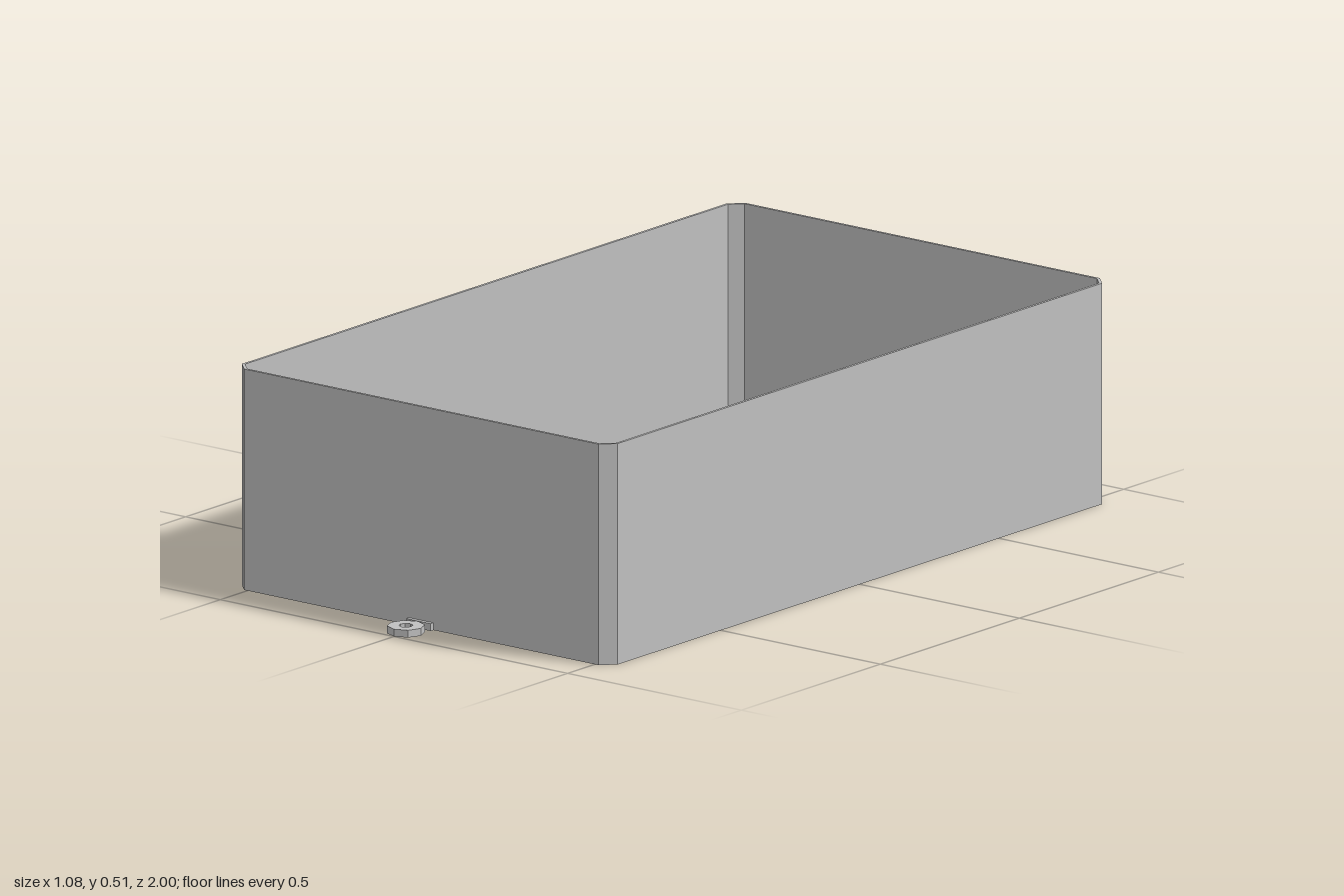
import * as THREE from 'three';

const HX = 0.541, HZ = 0.902, HEIGHT = 0.515, CHAMFER = 0.031, WALL = 0.007, FLOOR = 0.008;

// Rectangle with cut corners, as a list of points
function cutRect(hx, hz, c) {
  return [
    [hx, -hz + c], [hx, hz - c], [hx - c, hz], [-hx + c, hz],
    [-hx, hz - c], [-hx, -hz + c], [-hx + c, -hz], [hx - c, -hz],
  ].map(([x, y]) => new THREE.Vector2(x, y));
}

function octagon(r) {
  return Array.from({ length: 8 }, (_, i) =>
    new THREE.Vector2(r * Math.cos(i * Math.PI / 4), r * Math.sin(i * Math.PI / 4)));
}

// Extrude a plan outline upwards from y = 0
function slab(points, height, hole) {
  const shape = new THREE.Shape(points);
  if (hole) shape.holes.push(new THREE.Path(hole));
  return new THREE.ExtrudeGeometry(shape, { depth: height, bevelEnabled: false }).rotateX(-Math.PI / 2);
}

export function createModel() {
  const model = new THREE.Group();
  model.name = 'openBox';
  const grey = new THREE.MeshStandardMaterial({ color: 0xc0c0c0, flatShading: true });
  grey.name = 'grey';

  const add = (name, geometry, x = 0, y = 0, z = 0) => {
    const mesh = new THREE.Mesh(geometry, grey);
    mesh.name = name;
    mesh.position.set(x, y, z);
    model.add(mesh);
  };

  // Tray: thin wall ring and floor
  const inner = cutRect(HX - WALL, HZ - WALL, CHAMFER - WALL * 0.59);
  add('walls', slab(cutRect(HX, HZ, CHAMFER), HEIGHT, inner));
  add('floor', slab(inner, FLOOR));

  // Mounting eyelets with short necks, front and back
  for (const [side, s] of [['front', 1], ['back', -1]]) {
    add(side + 'Eyelet', slab(octagon(0.043), 0.017, octagon(0.016)), 0, 0, s * 0.957);
    add(side + 'EyeletNeck', new THREE.BoxGeometry(0.07, 0.017, 0.018), 0, 0.0085, s * 0.903);
  }

  // Pegs through the back wall
  const peg = new THREE.CylinderGeometry(0.023, 0.023, 0.095, 8).rotateX(Math.PI / 2);
  for (const s of [1, -1]) add(s > 0 ? 'leftPeg' : 'rightPeg', peg, s * 0.304, 0.062, -0.93);

  // Six-sided posts standing on the floor
  const post = new THREE.CylinderGeometry(0.027, 0.027, 0.036, 6).rotateY(Math.PI / 6);
  for (const s of [1, -1]) add(s > 0 ? 'frontPost' : 'backPost', post, 0.46, FLOOR + 0.016, s * 0.825);

  return model;
}
